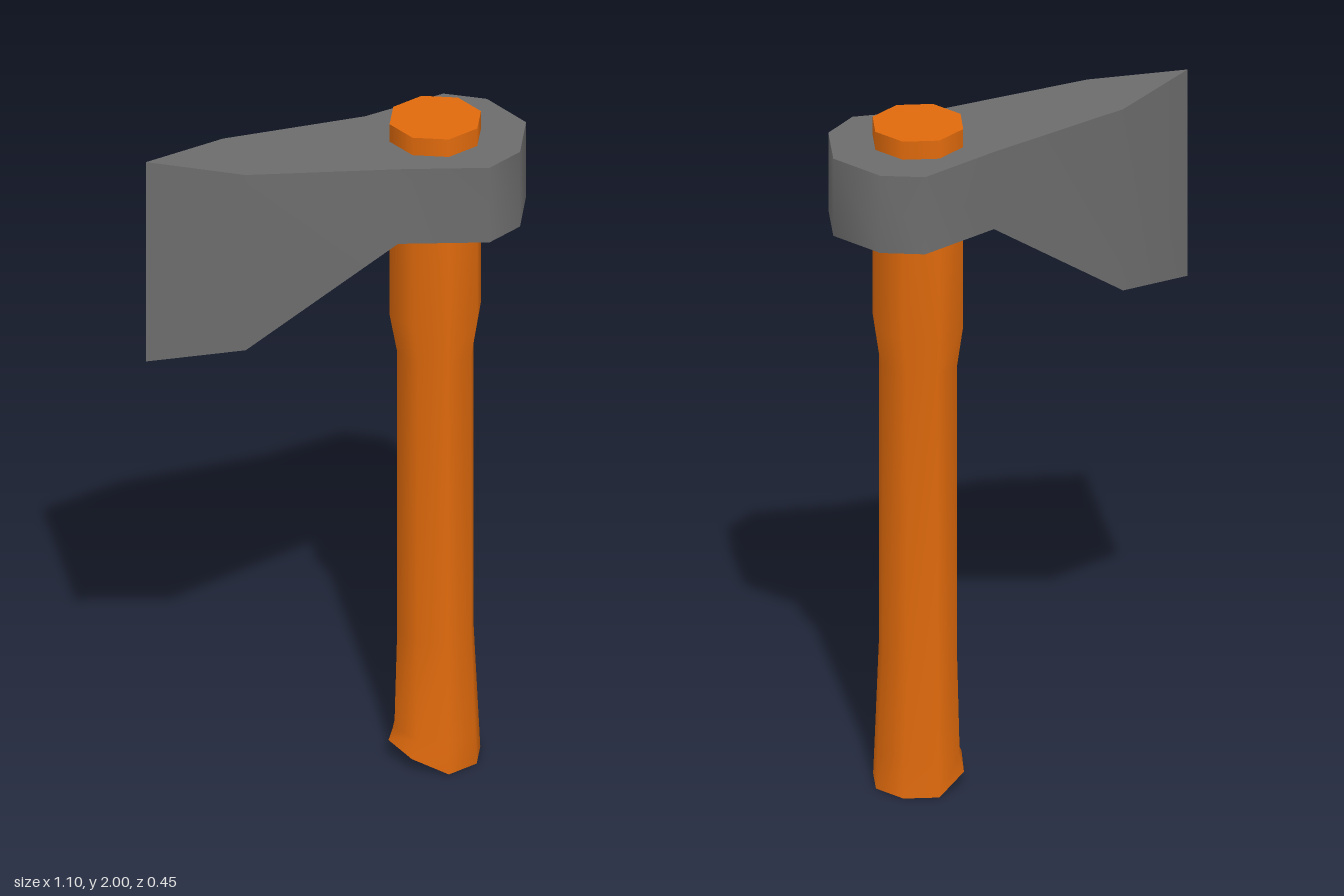
import * as THREE from 'three';
import { toCreasedNormals } from 'three/addons/utils/BufferGeometryUtils.js';

// Skins a list of rings (counter-clockwise seen from the last ring) and caps both ends.
function loft(rings) {
  const pos = [];
  const tri = (a, b, c) => {
    const area = b.clone().sub(a).cross(c.clone().sub(a)).length();
    if (area > 1e-6) for (const p of [a, b, c]) pos.push(p.x, p.y, p.z);
  };
  const n = rings[0].length;
  for (let i = 0; i < rings.length - 1; i++) {
    for (let j = 0; j < n; j++) {
      const k = (j + 1) % n;
      tri(rings[i][j], rings[i][k], rings[i + 1][k]);
      tri(rings[i][j], rings[i + 1][k], rings[i + 1][j]);
    }
  }
  const cap = (ring, flip) => {
    const mid = ring.reduce((s, p) => s.add(p), new THREE.Vector3()).divideScalar(n);
    // keep the cap centre level with the middle pair of corners
    mid.y = (ring[Math.floor(n / 4)].y + ring[Math.floor((3 * n) / 4)].y) / 2;
    for (let j = 0; j < n; j++) {
      const a = ring[j], b = ring[(j + 1) % n];
      flip ? tri(mid, b, a) : tri(mid, a, b);
    }
  };
  if (n > 4) {
    cap(rings[0], true);
    cap(rings[rings.length - 1], false);
  }
  const geo = new THREE.BufferGeometry();
  geo.setAttribute('position', new THREE.Float32BufferAttribute(pos, 3));
  return toCreasedNormals(geo, 0.9);
}

function part(name, geometry, color) {
  const mesh = new THREE.Mesh(geometry, new THREE.MeshStandardMaterial({ color }));
  mesh.name = name;
  return mesh;
}

export function createModel() {
  const group = new THREE.Group();
  group.name = 'axe';

  // Handle: eight-sided rings [y, left x, right x, half depth]; the foot is cut at a slant
  const handleX = 0.285;
  const handleRings = [
    [0, 0.15, 0.415, 0.132],
    [0.1, 0.167, 0.41, 0.129],
    [0.4, 0.175, 0.395, 0.122],
    [1.28, 0.175, 0.395, 0.122],
    [1.4, 0.153, 0.417, 0.132],
    [2, 0.153, 0.417, 0.132],
  ].map(([y, x0, x1, d], i) =>
    Array.from({ length: 8 }, (_, j) => {
      const a = (j * Math.PI) / 4;
      const c = Math.cos(a);
      const x = handleX + c * (c > 0 ? x1 - handleX : handleX - x0);
      const lift = i === 0 ? Math.max(0, (handleX - x) * 0.45) : 0;
      return new THREE.Vector3(x, y + lift, -Math.sin(a) * d);
    }));
  group.add(part('handle', loft(handleRings), 0xe06a0c));

  // Head: sections from cutting edge to poll [x, bottom y, top y, half thickness]
  const headRings = [
    [-0.55, 1.362, 1.99, 0],
    [-0.295, 1.415, 1.967, 0.11],
    [0.13, 1.71, 1.945, 0.16],
    [0.375, 1.71, 1.945, 0.224],
    [0.482, 1.71, 1.945, 0.16],
    [0.547, 1.71, 1.945, 0],
  ].map(([x, y0, y1, d]) => [
    new THREE.Vector3(x, y1, d),
    new THREE.Vector3(x, y0, d),
    new THREE.Vector3(x, y0, -d),
    new THREE.Vector3(x, y1, -d),
  ]);
  group.add(part('axeHead', loft(headRings), 0x6c6c6c));

  return group;
}
